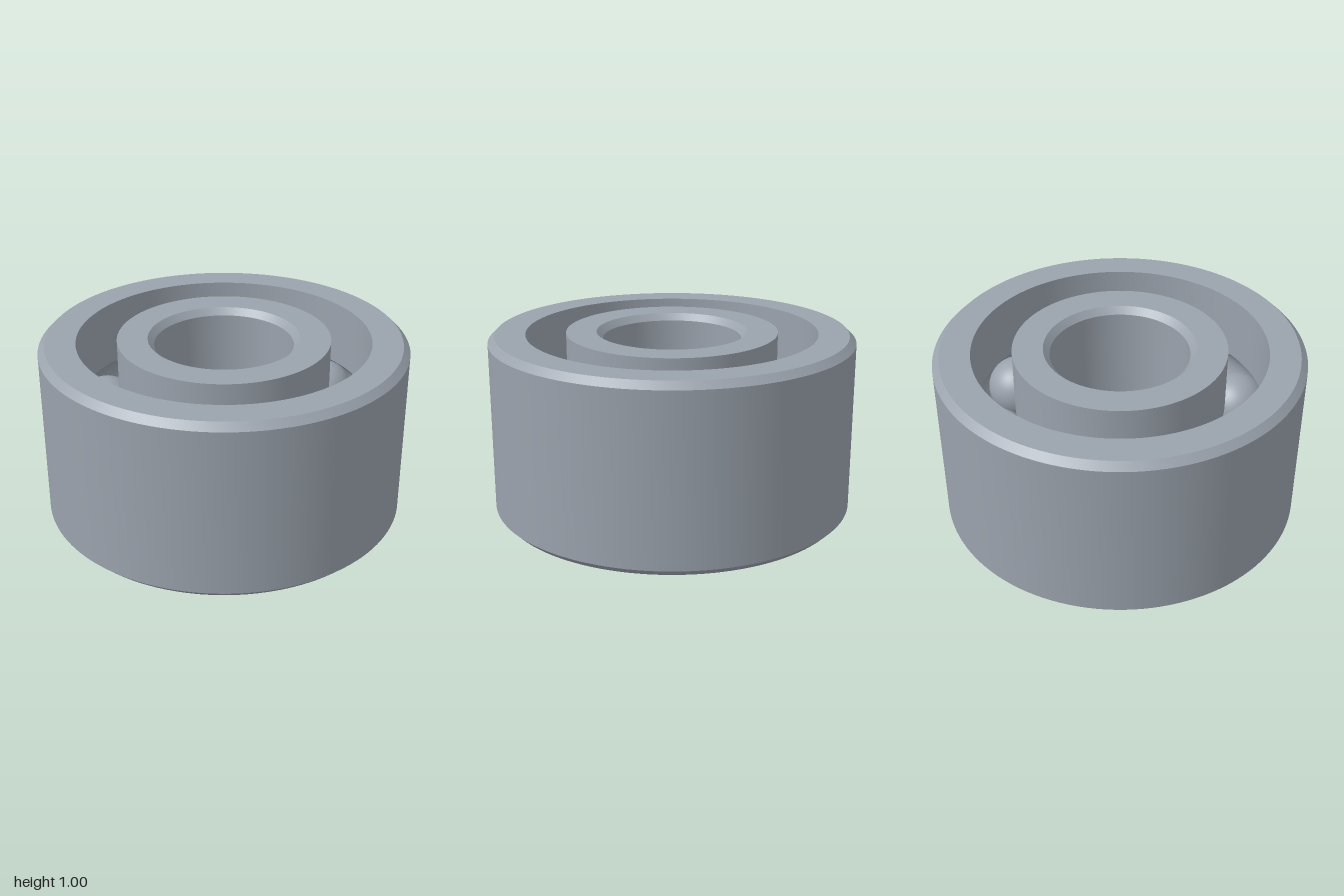
import * as THREE from 'three';
import { toCreasedNormals } from 'three/addons/utils/BufferGeometryUtils.js';

const PITCH = 0.683;    // radius of the circle of balls
const BALL = 0.174;
const GROOVE = 0.177;   // raceway radius, a hair over the ball
const MID = 0.5;        // height of the ball centres
const COUNT = 8;

// Raceway arc cut into a wall at radius `wall`, swept around direction `facing`
function groove(wall, facing) {
  const half = Math.acos(Math.abs(wall - PITCH) / GROOVE);
  return Array.from({ length: 17 }, (_, i) => {
    const t = facing + half * (1 - i / 8);
    return [PITCH + GROOVE * Math.cos(t), MID + GROOVE * Math.sin(t)];
  });
}

// Ring turned from a closed, counter-clockwise [radius, height] profile
function ring(name, profile, material) {
  const points = [...profile, profile[0]].map(([r, y]) => new THREE.Vector2(r, y));
  const geometry = toCreasedNormals(new THREE.LatheGeometry(points, 128), 0.5);
  const mesh = new THREE.Mesh(geometry, material);
  mesh.name = name;
  return mesh;
}

export function createModel() {
  const group = new THREE.Group();
  group.name = 'ballBearing';
  const steel = new THREE.MeshStandardMaterial({ color: 0x9aa2ac });
  steel.name = 'steel';

  // Outer ring: chamfered outside, raceway inside
  group.add(ring('outerRing', [
    [0.963, 0], [1, 0.037], [1, 0.963], [0.963, 1], [0.797, 1],
    ...groove(0.797, 0), [0.797, 0],
  ], steel));

  // Inner ring: raceway outside, chamfered bore
  group.add(ring('innerRing', [
    [0.578, 0], ...groove(0.578, Math.PI), [0.578, 1],
    [0.412, 1], [0.378, 0.963], [0.378, 0.037], [0.412, 0],
  ], steel));

  // Balls
  const balls = new THREE.Group();
  balls.name = 'balls';
  const sphere = new THREE.SphereGeometry(BALL, 40, 28);
  for (let i = 0; i < COUNT; i++) {
    const angle = THREE.MathUtils.degToRad(11.7) + (i / COUNT) * Math.PI * 2;
    const ball = new THREE.Mesh(sphere, steel);
    ball.name = 'ball';
    ball.position.set(PITCH * Math.cos(angle), MID, PITCH * Math.sin(angle));
    balls.add(ball);
  }
  group.add(balls);
  return group;
}
